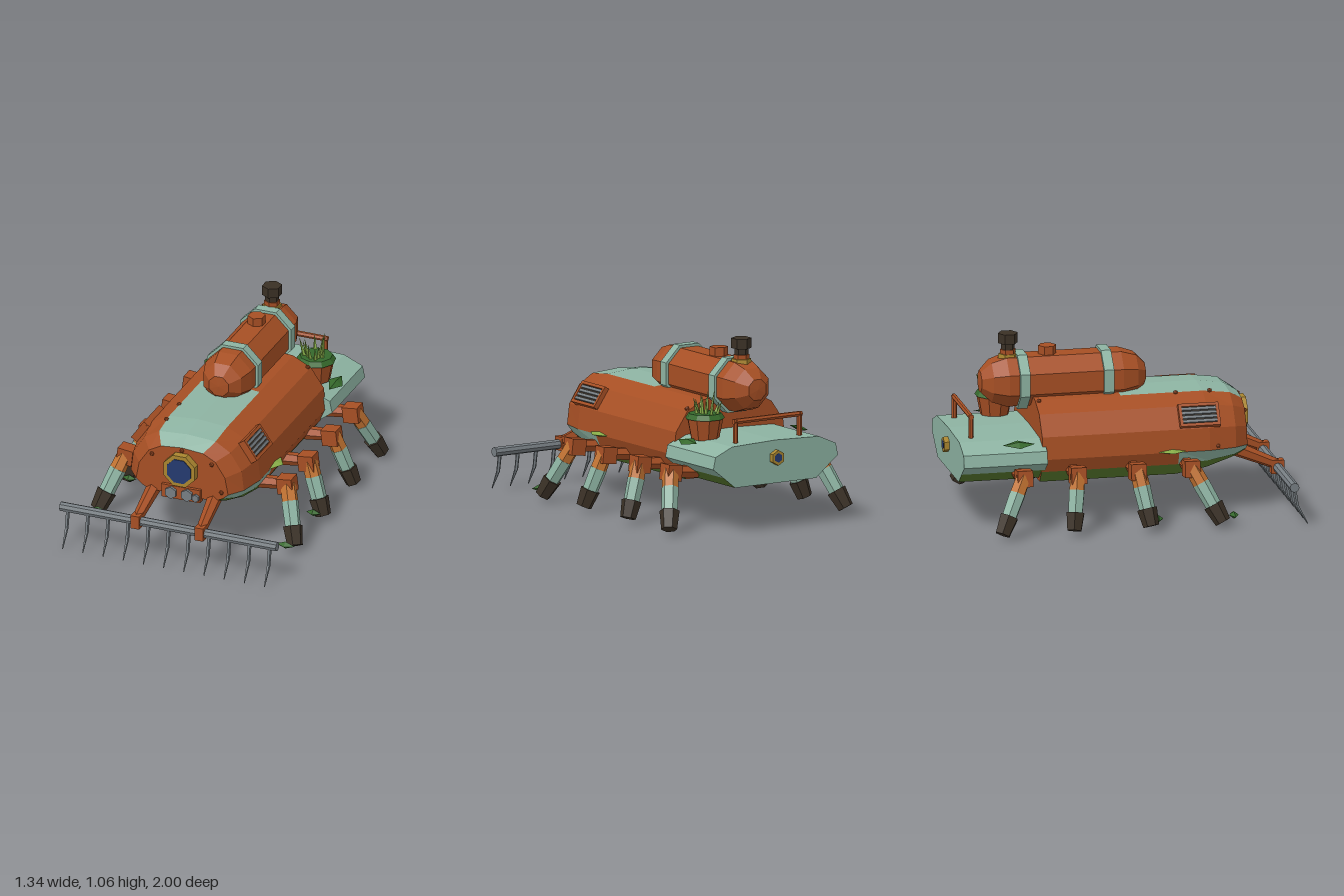
import * as THREE from 'three';

const mat = (name, color) => {
  const m = new THREE.MeshStandardMaterial({ color, flatShading: true });
  m.name = name;
  return m;
};
const M = {
  rust: mat('rust', 0xa64f24), pale: mat('paleRust', 0xc27332), teal: mat('teal', 0x8db3a2),
  dark: mat('charcoal', 0x3a3025), steel: mat('steel', 0x767d82), brass: mat('brass', 0xa9852f),
  glass: mat('blueGlass', 0x24396e), moss: mat('moss', 0x55752c), leaf: mat('darkLeaf', 0x35682b),
  grass: mat('grass', 0x86ac48),
};
const V = (x, y, z) => new THREE.Vector3(x, y, z);

export function createModel() {
  const root = new THREE.Group();
  root.name = 'gardenCrawler';

  const add = (name, geo, material, pos = [0, 0, 0], rot = [0, 0, 0], parent = root) => {
    const m = new THREE.Mesh(geo, material);
    m.name = name;
    m.position.set(...pos);
    m.rotation.set(...rot);
    parent.add(m);
    return m;
  };
  const box = (name, w, h, d, material, pos, rot, parent) =>
    add(name, new THREE.BoxGeometry(w, h, d), material, pos, rot, parent);
  const cyl = (name, r1, r2, h, n, material, pos, rot, parent) =>
    add(name, new THREE.CylinderGeometry(r1, r2, h, n), material, pos, rot, parent);
  // tapered bar from a to b
  const beam = (name, a, b, ra, rb, n, material, parent) => {
    const m = cyl(name, rb, ra, a.distanceTo(b), n, material, a.clone().lerp(b, 0.5).toArray(), undefined, parent);
    m.quaternion.setFromUnitVectors(V(0, 1, 0), b.clone().sub(a).normalize());
    return m;
  };
  const leaf = (name, sx, sy, sz, material, pos, rot) =>
    add(name, new THREE.OctahedronGeometry(1), material, pos, rot).scale.set(sx, sy, sz);

  // mirrored half sections joined along z, one mesh per colour
  const loft = (name, sections, pick, cap) => {
    const rings = sections.map(([z, half]) => [
      ...half.map(([x, y]) => V(x, y, z)),
      ...half.slice(0, -1).reverse().map(([x, y]) => V(-x, y, z))]);
    const faces = new Map();
    const tri = (material, ...p) => {
      if (!faces.has(material)) faces.set(material, []);
      p.forEach((v) => faces.get(material).push(v.x, v.y, v.z));
    };
    const n = rings[0].length, last = rings.length - 1;
    for (let j = 0; j < n; j++) {
      const k = (j + 1) % n, side = j === n - 1 ? -1 : Math.min(j, n - 2 - j);
      for (let i = 0; i < last; i++) {
        const [a, b, c, d] = [rings[i][j], rings[i][k], rings[i + 1][k], rings[i + 1][j]];
        const material = pick(i, side);
        tri(material, a, b, c);
        tri(material, a, c, d);
      }
      const mid = (r) => r.reduce((s, v) => s.add(v), V(0, 0, 0)).divideScalar(n);
      tri(cap, mid(rings[last]), rings[last][j], rings[last][k]);
      tri(cap, mid(rings[0]), rings[0][k], rings[0][j]);
    }
    faces.forEach((p, material) => {
      const g = new THREE.BufferGeometry();
      g.setAttribute('position', new THREE.Float32BufferAttribute(p, 3));
      g.computeVertexNormals();
      add(`${name}_${material.name}`, g, material);
    });
  };

  // main hull with a teal back stripe and mossy underside
  const full = [[0.3, 0.25], [0.35, 0.32], [0.385, 0.4], [0.37, 0.53], [0.29, 0.645], [0.18, 0.7], [0, 0.715]];
  loft('hull', [
    [-0.5, full], [0, full], [0.3, full],
    [0.48, [[0.28, 0.275], [0.34, 0.33], [0.385, 0.4], [0.37, 0.53], [0.29, 0.645], [0.18, 0.7], [0, 0.715]]],
    [0.64, [[0.24, 0.315], [0.31, 0.35], [0.35, 0.4], [0.335, 0.52], [0.265, 0.625], [0.175, 0.68], [0, 0.692]]],
    [0.72, [[0.2, 0.34], [0.25, 0.365], [0.285, 0.395], [0.265, 0.5], [0.205, 0.59], [0.13, 0.63], [0, 0.642]]],
  ], (i, s) => {
    if (s === 5 && i > 0) return M.teal;
    if (s === 1) return i > 1 ? M.teal : M.rust;
    return s === 0 ? M.moss : M.rust;
  }, M.rust);

  // rear deck
  const deck = [[0.28, 0.27], [0.36, 0.335], [0.43, 0.39], [0.415, 0.46], [0.3, 0.51], [0, 0.52]];
  loft('rearDeck', [[-0.97, deck], [-0.48, deck]],
    (i, s) => (s < 0 ? M.rust : s === 0 ? M.moss : M.teal), M.teal);
  const rz = [Math.PI / 2, 0, 0];
  cyl('rearPortRim', 0.045, 0.045, 0.03, 6, M.brass, [0, 0.42, -0.985], rz);
  cyl('rearPortGlass', 0.028, 0.028, 0.004, 6, M.glass, [0, 0.42, -0.999], rz);
  for (const s of [-1, 1]) beam('handlePost', V(s * 0.22, 0.5, -0.885), V(s * 0.22, 0.645, -0.885), 0.015, 0.015, 6, M.rust);
  beam('handleBar', V(-0.235, 0.637, -0.885), V(0.235, 0.637, -0.885), 0.016, 0.016, 6, M.rust);

  // eight-sided tank with domed ends, bands and chimney
  const prof = [[0, -0.79], [0.065, -0.785], [0.125, -0.725], [0.155, -0.64], [0.155, 0.03], [0.125, 0.12], [0.065, 0.175], [0, 0.18]];
  const tank = new THREE.LatheGeometry(prof.map(([r, y]) => new THREE.Vector2(r, y)), 8);
  tank.rotateY(Math.PI / 8).rotateX(Math.PI / 2);
  add('tank', tank, M.rust, [0, 0.782, 0]);
  for (const z of [-0.06, -0.55]) {
    const band = new THREE.CylinderGeometry(0.172, 0.172, 0.058, 8);
    band.rotateY(Math.PI / 8).rotateX(Math.PI / 2);
    add('tankBand', band, M.teal, [0, 0.782, z]);
  }
  cyl('fillerCap', 0.052, 0.052, 0.06, 6, M.rust, [0, 0.945, -0.39]);
  cyl('chimneyBase', 0.055, 0.06, 0.03, 6, M.brass, [0, 0.925, -0.62]);
  cyl('chimneyCollar', 0.046, 0.046, 0.03, 6, M.rust, [0, 0.95, -0.62]);
  cyl('chimneyPipe', 0.04, 0.04, 0.06, 6, M.dark, [0, 0.98, -0.62]);
  cyl('chimneyCap', 0.058, 0.058, 0.058, 6, M.dark, [0, 1.031, -0.62]);

  // front porthole and lamps
  const oct = (name, r, d, material, z) => {
    const g = new THREE.CylinderGeometry(r, r, d, 8);
    g.rotateY(Math.PI / 8).rotateX(Math.PI / 2);
    add(name, g, material, [0, 0.512, z]);
  };
  oct('portholeRim', 0.104, 0.05, M.brass, 0.74);
  oct('portholeGlass', 0.079, 0.006, M.glass, 0.767);
  box('lampPlate', 0.24, 0.08, 0.04, M.rust, [0, 0.36, 0.72]);
  for (const [x, y, r] of [[-0.057, 0.36, 0.037], [0.042, 0.36, 0.037], [0.096, 0.352, 0.023]])
    cyl('lamp', r, r, 0.02, 6, M.steel, [x, y, 0.748], rz);

  // rivets
  for (const p of [[-0.185, 0.572, 0.725], [0.185, 0.572, 0.725], [0, 0.625, 0.725], [0.245, 0.405, 0.725],
    [-0.185, 0.7, 0.32], [-0.18, 0.7, 0.52], [-0.19, 0.698, -0.48], [0.28, 0.655, -0.48], [-0.37, 0.42, 0.53]])
    add('rivet', new THREE.IcosahedronGeometry(0.014), M.rust, p);

  for (const s of [-1, 1]) {
    // slatted side vents
    const vent = new THREE.Group();
    vent.name = 'vent';
    vent.position.set(s * 0.333, 0.597, 0.425);
    vent.rotation.z = s * 0.61;
    root.add(vent);
    box('ventPanel', 0.02, 0.11, 0.2, M.dark, [0, 0, 0], undefined, vent);
    for (const t of [-1, 1]) {
      box('ventRail', 0.044, 0.018, 0.235, M.rust, [0, t * 0.06, 0], undefined, vent);
      box('ventPost', 0.044, 0.12, 0.018, M.rust, [0, 0, t * 0.109], undefined, vent);
    }
    for (let i = 0; i < 4; i++)
      box('ventSlat', 0.016, 0.016, 0.2, M.steel, [s * 0.012, -0.037 + i * 0.025, 0], undefined, vent);

    // legs: hip, knee, shin and boot
    for (const [kz, fz] of [[0.345, 0.505], [0.03, 0.085], [-0.32, -0.365], [-0.635, -0.785]]) {
      const leg = new THREE.Group();
      leg.name = 'leg';
      root.add(leg);
      const knee = V(s * 0.5, 0.345, kz), foot = V(s * 0.61, 0.035, fz);
      const at = (t) => knee.clone().lerp(foot, t);
      beam('hip', V(s * 0.32, 0.32, kz), V(s * 0.47, 0.335, kz), 0.04, 0.036, 6, M.rust, leg);
      box('knee', 0.095, 0.095, 0.09, M.rust, [s * 0.495, 0.332, kz], [0, 0, s * 0.12], leg);
      beam('shinTop', at(0), at(0.32), 0.046, 0.048, 6, M.pale, leg);
      beam('shin', at(0.3), at(0.72), 0.05, 0.046, 6, M.teal, leg);
      beam('boot', at(0.69), at(1), 0.058, 0.046, 6, M.dark, leg);
    }

    // leaves on the feet, flanks and deck
    leaf('footLeaf', 0.058, 0.022, 0.028, M.leaf, [s * 0.58, 0.065, 0.575]);
    leaf('footLeaf', 0.045, 0.022, 0.03, M.leaf, [s * 0.57, 0.065, 0.135]);
    leaf('flankLeaf', 0.05, 0.014, 0.085, M.grass, [s * 0.385, 0.405, 0.26]);
    leaf('deckLeaf', 0.045, 0.016, 0.095, M.leaf, [s * 0.385, 0.5, -0.64], [0, 0, -s * 0.3]);

    // rake arms
    beam('rakeArm', V(s * 0.185, 0.37, 0.62), V(s * 0.198, 0.24, 0.92), 0.046, 0.03, 6, M.rust);
    box('rakeClamp', 0.054, 0.08, 0.075, M.rust, [s * 0.198, 0.232, 0.912]);
  }

  // rake bar with hooked tines
  beam('rakeBar', V(-0.67, 0.229, 0.912), V(0.67, 0.229, 0.912), 0.028, 0.028, 8, M.steel);
  for (let i = -5; i <= 5; i++) {
    const x = i * 0.125;
    beam('tine', V(x, 0.22, 0.918), V(x, 0.105, 0.937), 0.012, 0.011, 5, M.steel);
    beam('tineTip', V(x, 0.11, 0.936), V(x, 0.002, 0.998), 0.011, 0.003, 5, M.steel);
  }

  // potted grass
  const px = 0.265, pz = -0.64;
  cyl('pot', 0.108, 0.082, 0.13, 9, M.rust, [px, 0.57, pz]);
  cyl('potFoliage', 0.095, 0.115, 0.03, 9, M.leaf, [px, 0.64, pz]);
  for (let i = 0; i < 12; i++) {
    const a = i * 2.4, r = 0.025 + 0.055 * ((i * 5) % 12) / 12, h = 0.07 + 0.05 * ((i * 7) % 4) / 3;
    const c = Math.cos(a), d = Math.sin(a);
    beam('grassBlade', V(px + c * r, 0.64, pz + d * r), V(px + c * r * 1.45, 0.645 + h, pz + d * r * 1.45), 0.014, 0.001, 4, M.grass);
  }
  return root;
}
